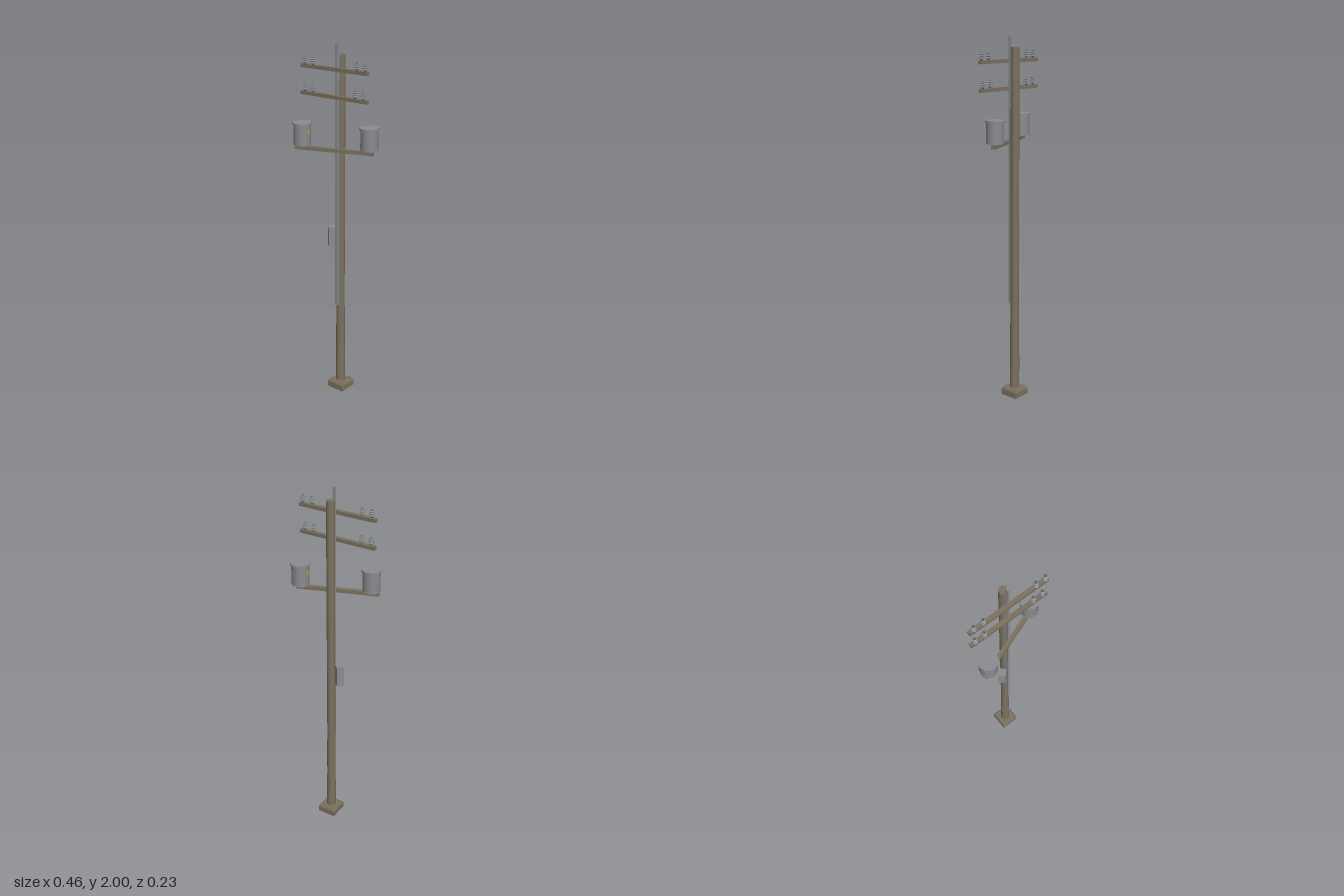
import * as THREE from 'three';

const mat = (name, color, extra = {}) => {
  const m = new THREE.MeshStandardMaterial({ color, ...extra });
  m.name = name;
  return m;
};

export function createModel() {
  const group = new THREE.Group();
  const wood = mat('weathered wood', 0x7b715f);
  const footing = mat('footing brown', 0x7b715f, { flatShading: true, side: THREE.DoubleSide });
  const steel = mat('grey steel', 0x8b8c91);
  const ceramic = mat('insulator grey', 0x82868c);
  const dark = mat('dark bolt', 0x4a4b4e);
  const yellow = mat('warning yellow', 0xc9a91c);
  const poleZ = -0.046;

  const add = (name, geo, material, x = 0, y = 0, z = 0, parent = group) => {
    const m = new THREE.Mesh(geo, material);
    m.name = name;
    m.position.set(x, y, z);
    parent.add(m);
    return m;
  };
  const box = (w, h, d) => new THREE.BoxGeometry(w, h, d);
  const cyl = (rt, rb, h, n = 12) => new THREE.CylinderGeometry(rt, rb, h, n);
  const sub = (name, x, y, z, turn = 0) => {
    const g = new THREE.Group();
    g.name = name;
    g.position.set(x, y, z);
    g.rotation.y = turn;
    group.add(g);
    return g;
  };

  // Square footing, hollow underneath, with a chamfered top
  const q = Math.SQRT2;
  const baseProfile = [[0.053, 0], [0.053, 0.034], [0.047, 0.045], [0, 0.045]]
    .map(([r, y]) => new THREE.Vector2(r * q, y));
  const baseGeo = new THREE.LatheGeometry(baseProfile, 4).rotateY(Math.PI / 4);
  add('footing', baseGeo, footing, 0.001, 0, -0.048);
  for (const sx of [-1, 1]) for (const sz of [-1, 1]) {
    add('footingBolt', cyl(0.007, 0.007, 0.004, 6), wood, sx * 0.036, 0.046, -0.048 + sz * 0.038);
  }

  // Pole with two thicker sleeves; the lower sleeve has a slanted rim
  add('pole', cyl(0.0225, 0.0235, 1.9, 16), wood, 0, 0.99, poleZ);
  add('middleSleeve', cyl(0.0245, 0.0255, 0.475, 16), wood, 0, 0.2825, poleZ);
  const sleeve = cyl(0.0265, 0.027, 0.2, 16);
  const p = sleeve.attributes.position;
  for (let i = 0; i < p.count; i++) {
    if (p.getY(i) > 0) p.setY(i, p.getY(i) + 0.5 * (p.getX(i) - p.getZ(i)));
  }
  sleeve.computeVertexNormals();
  add('lowerSleeve', sleeve, wood, 0, 0.145, poleZ);

  // Steel conduit in front of the pole
  add('conduit', box(0.012, 1.46, 0.015), steel, 0, 1.27, -0.013);
  add('conduitFlange', box(0.018, 1.4, 0.003), steel, 0, 1.24, -0.0225);

  // Ribbed insulator: three sheds on a thin stem
  const shedProfile = [[0, 0], [0.005, 0]];
  for (let i = 0; i < 3; i++) {
    const y = 0.006 + i * 0.011, r = 0.0135 - i * 0.0005;
    shedProfile.push([0.005, y], [r, y + 0.001], [r, y + 0.004], [0.005, y + 0.007]);
  }
  shedProfile.push([0.004, 0.036], [0, 0.036]);
  const insulatorGeo = new THREE.LatheGeometry(
    shedProfile.map(([r, y]) => new THREE.Vector2(r, y)), 10);

  // Two crossarms carrying four insulators each
  for (const [y, xs] of [
    [1.868, [-0.202, -0.149, 0.145, 0.198]],
    [1.726, [-0.202, -0.149, 0.135, 0.188]],
  ]) {
    add('crossarm', box(0.442, 0.019, 0.022), wood, -0.008, y, 0.003);
    for (const x of xs) {
      add('insulator', insulatorGeo, ceramic, x, y + 0.0095, 0.006);
      add('insulatorPin', cyl(0.004, 0.004, 0.004, 8), dark, x, y + 0.046, 0.006);
    }
  }

  // Angled arm carrying the two transformers
  const arm = sub('transformerArm', -0.007, 1.444, 0.005, 0.35);
  add('armBeam', box(0.44, 0.02, 0.022), wood, 0, 0, 0, arm);

  // Transformer can with a wider lid and a thin warning mark
  const mark = new THREE.Shape([
    [0.002, 0.02], [-0.008, -0.003], [-0.001, -0.003], [-0.003, -0.02], [0.008, 0.005], [0.001, 0.005],
  ].map(([x, y]) => new THREE.Vector2(x, y)));
  const markGeo = new THREE.ExtrudeGeometry(mark, { depth: 0.003, bevelEnabled: false });
  const transformer = (x, z, turn, spin) => {
    const t = sub('transformer', x, 1.454, z, turn);
    add('foot', cyl(0.018, 0.018, 0.008, 10), steel, 0, 0.004, 0, t);
    add('can', cyl(0.047, 0.047, 0.112, 10).rotateY(spin), steel, 0, 0.062, 0, t);
    add('lid', cyl(0.053, 0.053, 0.01, 10).rotateY(spin), steel, 0, 0.121, 0, t);
    add('bottomRim', cyl(0.0485, 0.0485, 0.006, 10).rotateY(spin), steel, 0, 0.01, 0, t);
    add('warningMark', markGeo, yellow, 0, 0.077, 0.0455, t);
  };
  transformer(-0.177, 0.063, Math.PI / 2, 0.12);
  transformer(0.175, -0.065, -Math.PI / 2, Math.PI / 10 + Math.PI / 2);

  // Meter cabinet turned to one side of the conduit
  const cabinet = sub('meterCabinet', -0.036, 0.945, -0.018, -0.75);
  add('cabinetBody', box(0.04, 0.116, 0.038), steel, 0, 0, 0, cabinet);
  add('cabinetDoor', box(0.034, 0.104, 0.003), steel, 0, -0.002, 0.0205, cabinet);
  add('cabinetHood', box(0.042, 0.004, 0.042), steel, 0, 0.058, 0.001, cabinet);

  return group;
}
